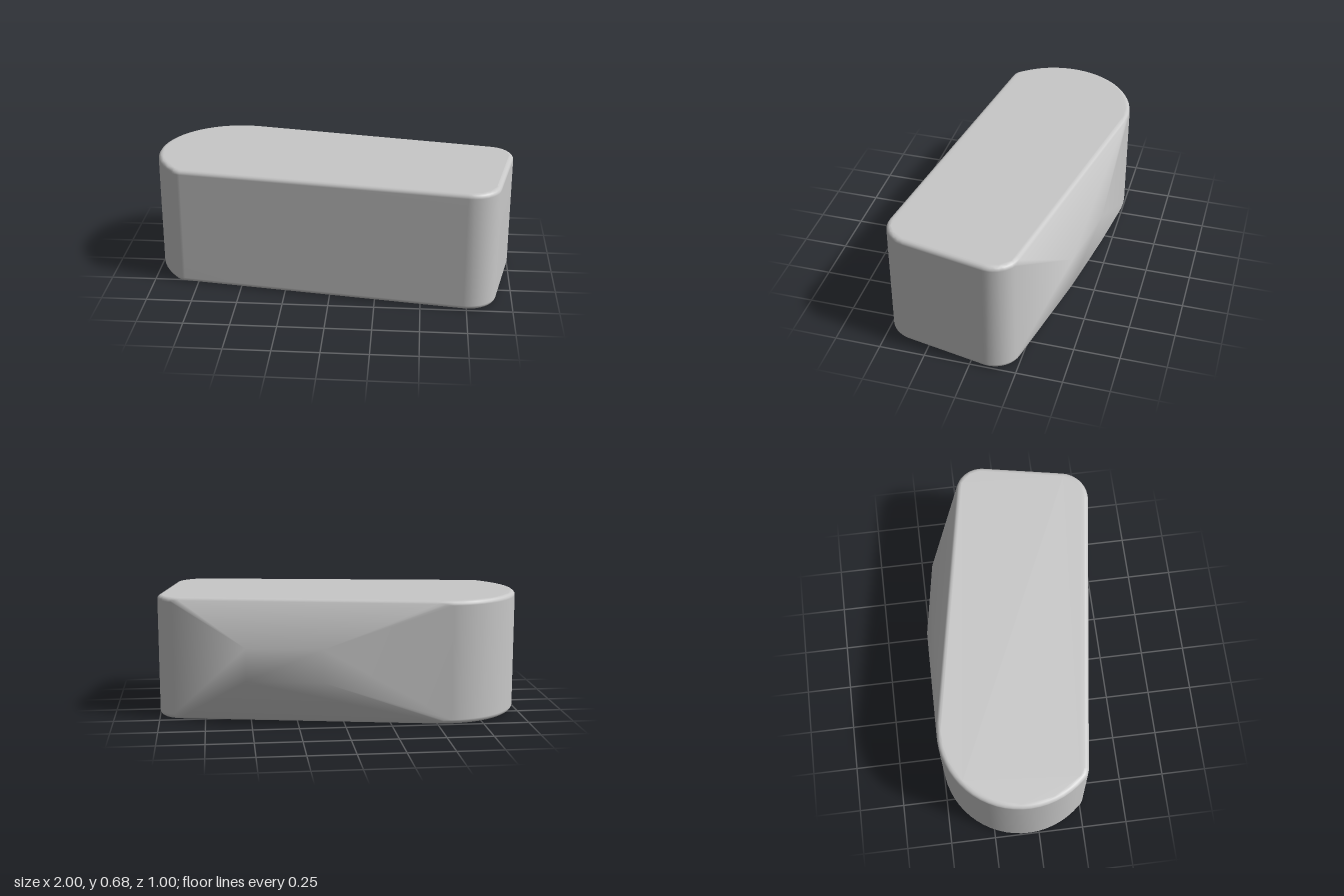
import * as THREE from 'three';
import { ConvexGeometry } from 'three/addons/geometries/ConvexGeometry.js';
import { mergeVertices } from 'three/addons/utils/BufferGeometryUtils.js';

const HEIGHT = 0.675;
const BEVEL = 0.025;

// Plan outline arcs: [x, z, radius, start degrees, end degrees], 90 degrees facing front
const corners = [
  [-0.56, -0.06, 0.44, 137, 280],
  [-0.815, 0.19, 0.085, 98, 137],
  [0.755, 0.337, 0.16, 10, 98],
  [0.855, -0.1, 0.145, -80, 10],
];

// Rounded slab: each outline arc becomes an upright wall with softened rims
function slabPoints() {
  const points = [];
  const steps = 4;
  for (const [cx, cz, r, start, end] of corners) {
    const segments = Math.ceil((end - start) / 6);
    for (let k = 0; k <= steps; k++) {
      // t = 0 is the widest ring, t = 90 degrees the flat cap
      const t = (k / steps) * Math.PI / 2;
      const radius = r - BEVEL * (1 - Math.cos(t));
      const y = BEVEL * (1 - Math.sin(t));
      for (let i = 0; i <= segments; i++) {
        const a = THREE.MathUtils.degToRad(start + (end - start) * i / segments);
        const x = cx + radius * Math.cos(a), z = cz + radius * Math.sin(a);
        points.push(new THREE.Vector3(x, y, z), new THREE.Vector3(x, HEIGHT - y, z));
      }
    }
  }
  return points;
}

// Back bulge: the rear half of a 12-sided drum lying along the back wall
function bulgePoints() {
  const points = [];
  const apothem = HEIGHT / 2;
  const r = apothem / Math.cos(Math.PI / 12);
  const out = new THREE.Vector3(0.17, 0, -0.985);
  for (const [x, z] of [[0.12, -0.5], [0.53, -0.43]]) {
    for (let i = -3; i < 3; i++) {
      const a = ((i + 0.5) / 12) * Math.PI * 2;
      const p = new THREE.Vector3(x, apothem + r * Math.sin(a), z);
      points.push(p.addScaledVector(out, r * Math.cos(a) - apothem));
    }
  }
  return points;
}

export function createModel() {
  const group = new THREE.Group();
  group.name = 'roundedBlock';
  const grey = new THREE.MeshStandardMaterial({ color: 0xc8c8c8 });
  grey.name = 'light grey';

  // One taut skin around slab and bulge, with smooth normals
  const hull = new ConvexGeometry([...slabPoints(), ...bulgePoints()]);
  hull.deleteAttribute('normal');
  const geometry = mergeVertices(hull, 1e-5);
  geometry.computeVertexNormals();

  const body = new THREE.Mesh(geometry, grey);
  body.name = 'body';
  group.add(body);
  return group;
}
